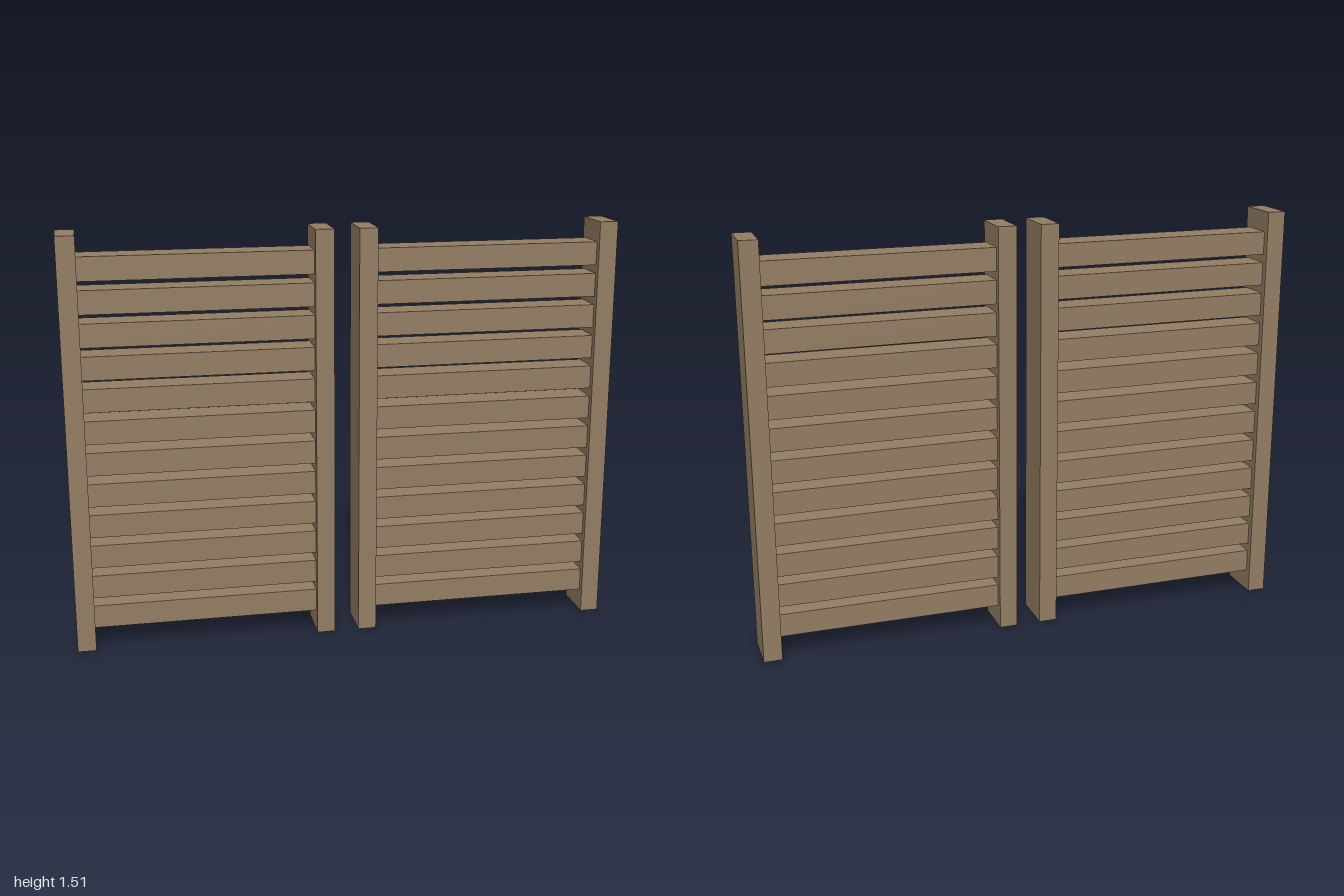
import * as THREE from 'three';

const HEIGHT = 1.515, POST_W = 0.067, POST_D = 0.164;
const INNER = 0.045, OUTER = 1;
const SLATS = 12, SLAT_H = 0.085, SLAT_D = 0.115, SLAT_BOTTOM = 0.08, PITCH = 0.1159;

export function createModel() {
  const wood = new THREE.MeshStandardMaterial({ color: 0x947e64 });
  wood.name = 'brown wood';

  const box = (name, w, h, d, x, y) => {
    const mesh = new THREE.Mesh(new THREE.BoxGeometry(w, h, d), wood);
    mesh.name = name;
    mesh.position.set(x, y, 0);
    return mesh;
  };

  const model = new THREE.Group();
  model.name = 'slattedFence';

  // Two mirrored panels with a gap between them
  for (const side of [-1, 1]) {
    const panel = new THREE.Group();
    panel.name = side > 0 ? 'leftPanel' : 'rightPanel';

    // Posts at both ends
    panel.add(box('innerPost', POST_W, HEIGHT, POST_D, side * (INNER + POST_W / 2), HEIGHT / 2));
    panel.add(box('outerPost', POST_W, HEIGHT, POST_D, side * (OUTER - POST_W / 2), HEIGHT / 2));

    // Horizontal slats between the posts
    const length = OUTER - INNER - 2 * POST_W;
    for (let i = 0; i < SLATS; i++) {
      const y = SLAT_BOTTOM + SLAT_H / 2 + i * PITCH;
      panel.add(box('slat', length, SLAT_H, SLAT_D, side * (INNER + OUTER) / 2, y));
    }
    model.add(panel);
  }
  return model;
}
